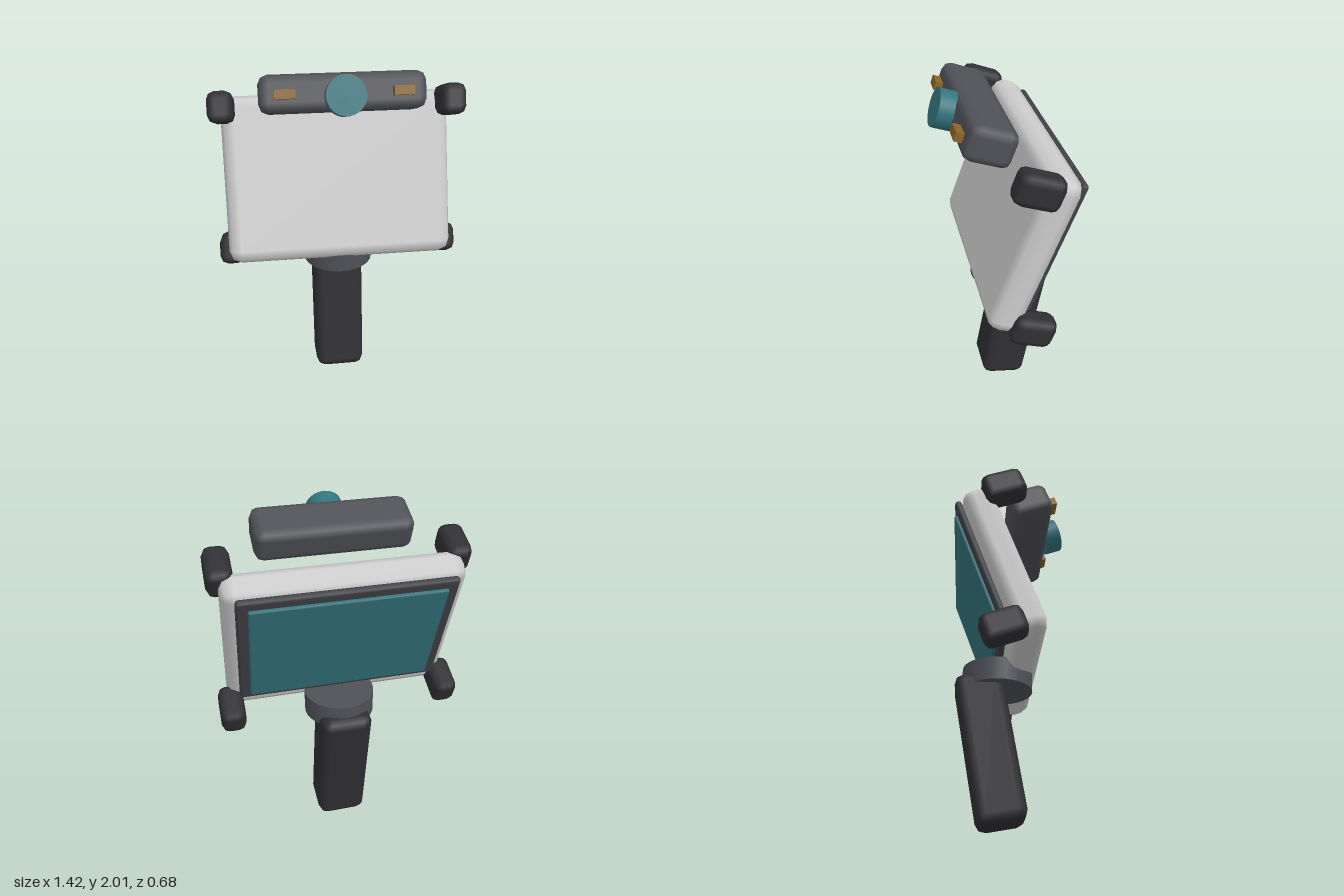
import * as THREE from 'three';
import { RoundedBoxGeometry } from 'three/addons/geometries/RoundedBoxGeometry.js';

const TILT = -Math.PI / 9; // everything above the collar leans back 20 degrees

const material = (color) => new THREE.MeshStandardMaterial({ color });
const shell = material(0xcccccc);
const rubber = material(0x303034);
const grey = material(0x505157);
const frame = material(0x424348);
const teal = material(0x33747c);
const amber = material(0x8a6428);

export function createModel() {
  const model = new THREE.Group();

  const add = (parent, name, geometry, mat, x, y, z, tilt = 0) => {
    const mesh = new THREE.Mesh(geometry, mat);
    mesh.name = name;
    mesh.position.set(x, y, z);
    mesh.rotation.x = tilt;
    parent.add(mesh);
    return mesh;
  };
  // Box with a two-facet chamfer
  const soft = (w, h, d, r) => new RoundedBoxGeometry(w, h, d, 1, r);

  // Grip and the collar that carries the tablet
  add(model, 'handle', soft(0.3, 0.87, 0.28, 0.055), rubber, 0, 0.43, -0.108, -Math.PI / 18);
  add(model, 'collar', new THREE.CylinderGeometry(0.205, 0.205, 0.135, 32), grey, 0, 0.847, -0.065);

  // Tilted tablet: shell, screen frame and screen on the back
  const tablet = new THREE.Group();
  tablet.name = 'tablet';
  tablet.position.set(0, 1.31, -0.065);
  tablet.rotation.x = TILT;
  model.add(tablet);
  add(tablet, 'body', soft(1.3, 0.95, 0.19, 0.07), shell, 0, 0, 0);
  add(tablet, 'screenFrame', soft(1.17, 0.8, 0.04, 0.018), frame, 0, 0.05, -0.11);
  add(tablet, 'screen', soft(1.05, 0.7, 0.025, 0.01), teal, 0, 0.047, -0.137);

  // Corner bumpers
  const bumper = soft(0.143, 0.172, 0.24, 0.045);
  for (const x of [-0.638, 0.638]) {
    for (const y of [0.875, 1.745]) add(model, 'cornerBumper', bumper, rubber, x, y, -0.065, TILT);
  }

  // Sensor bar with a central lens and two small lamps
  add(model, 'sensorBar', soft(0.87, 0.195, 0.255, 0.05), grey, 0, 1.855, 0.103, TILT);
  const lens = new THREE.CylinderGeometry(0.103, 0.103, 0.1, 32).rotateX(Math.PI / 2);
  add(model, 'lens', lens, teal, 0, 1.886, 0.263, TILT);
  for (const x of [-0.302, 0.302]) {
    add(model, 'lamp', new THREE.BoxGeometry(0.105, 0.047, 0.042), amber, x, 1.9, 0.247, TILT);
  }

  return model;
}
